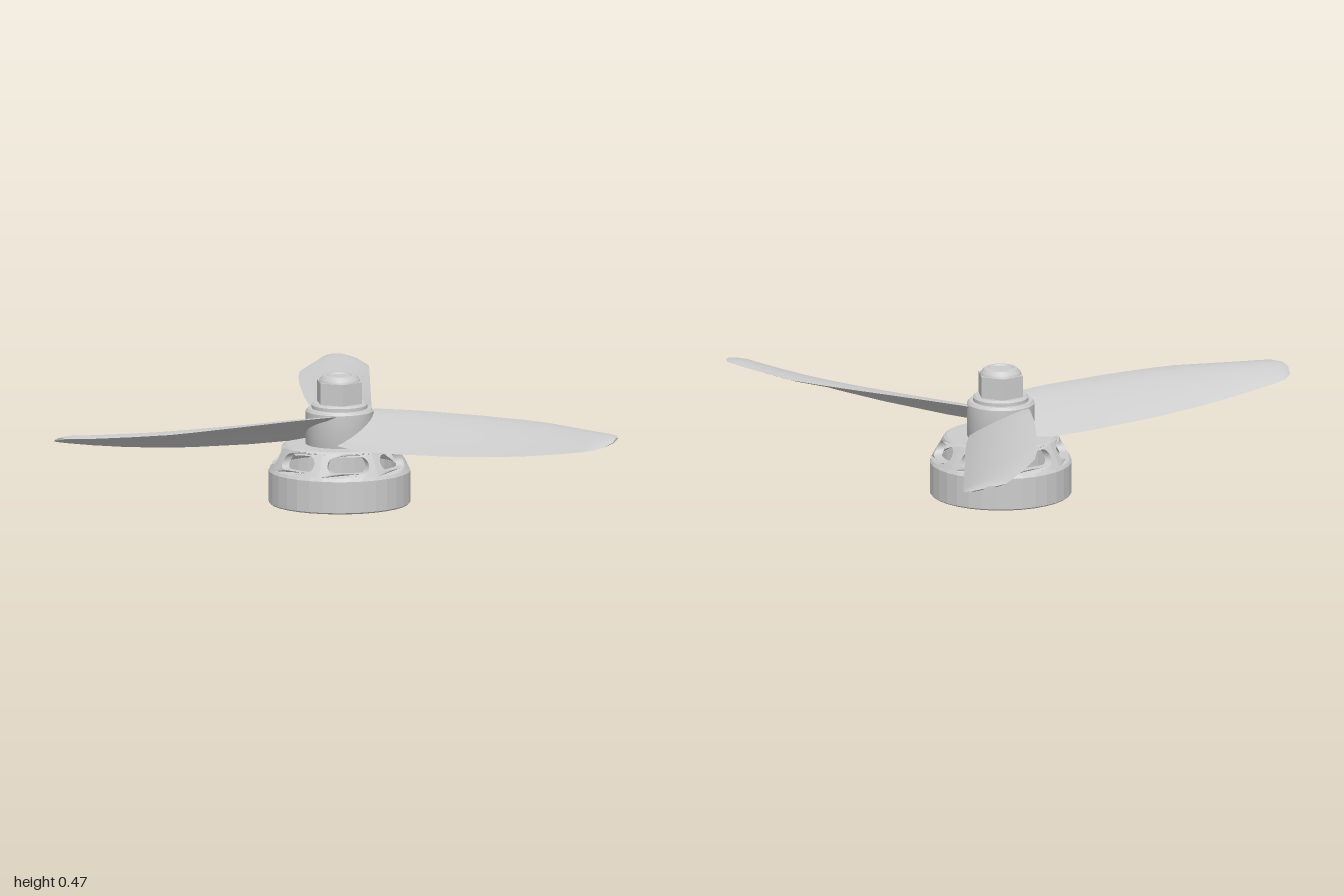
import * as THREE from 'three';
import { toCreasedNormals } from 'three/addons/utils/BufferGeometryUtils.js';

const grey = new THREE.MeshStandardMaterial({ color: 0xcccccc });
const V2 = (x, y) => new THREE.Vector2(x, y);

function add(parent, name, geometry, crease = 0.5) {
  const mesh = new THREE.Mesh(toCreasedNormals(geometry, crease), grey);
  mesh.name = name;
  parent.add(mesh);
  return mesh;
}

const lathe = (points, segments = 32) =>
  new THREE.LatheGeometry(points.map(([x, y]) => V2(x, y)), segments);

// One sector of the vented dome: a flat panel with a slot, bent onto a cone
function ventSector(count) {
  const R = 0.23, H = 0.08, T = 0.03, half = Math.PI / count * R, n = 8;
  const outline = [];
  for (let i = 0; i <= n; i++) outline.push(V2(-half + 2 * half * i / n, 0));
  for (let i = n; i >= 0; i--) outline.push(V2(-half + 2 * half * i / n, H));
  const shape = new THREE.Shape(outline);
  const slot = [], r = 0.028, straight = 0.05, cy = 0.042;
  for (const side of [1, -1]) {
    for (let i = 0; i <= 8; i++) {
      const a = -Math.PI / 2 + Math.PI * i / 8;
      slot.push(V2(side * (straight + r * Math.cos(a)), cy + side * r * Math.sin(a)));
    }
    for (let i = 1; i < 4; i++) slot.push(V2(side * straight * (1 - i / 2), cy + side * r));
  }
  shape.holes.push(new THREE.Path(slot));
  const geo = new THREE.ExtrudeGeometry(shape, { depth: T, bevelEnabled: false });
  const p = geo.attributes.position;
  for (let i = 0; i < p.count; i++) {
    const a = p.getX(i) / R, h = p.getY(i);
    const rad = 0.25 - 0.045 * h / H - (T - p.getZ(i));
    p.setXYZ(i, Math.sin(a) * rad, 0.13 + h, Math.cos(a) * rad);
  }
  return geo;
}

// Blade along -z, lofted through cambered, pitched sections
function bladeGeometry() {
  // distance from axis, raised edge x, raised edge y, low edge x, low edge y
  const stations = [
    [0.03, -0.085, 0.325, 0.115, 0.225],
    [0.12, -0.092, 0.332, 0.14, 0.216],
    [0.28, -0.087, 0.336, 0.163, 0.218],
    [0.53, -0.067, 0.337, 0.196, 0.230],
    [0.70, -0.045, 0.336, 0.219, 0.245],
    [0.80, -0.025, 0.335, 0.232, 0.256],
    [0.93, 0.030, 0.334, 0.249, 0.274],
    [1.04, 0.080, 0.334, 0.263, 0.292],
    [1.08, 0.098, 0.335, 0.266, 0.300],
    [1.115, 0.118, 0.335, 0.245, 0.310],
    [1.137, 0.155, 0.333, 0.205, 0.324],
  ];
  const steps = 8, loop = steps * 2, pos = [], index = [];
  for (const [r, x0, y0, x1, y1] of stations) {
    const w = x1 - x0;
    for (let j = 0; j < loop; j++) {
      const s = j <= steps ? j / steps : 2 - j / steps;
      const arch = 4 * s * (1 - s);
      const thick = (0.002 + 0.035 * w * Math.sqrt(arch)) * (j <= steps ? 1 : -1);
      pos.push(x0 + w * s, y0 + (y1 - y0) * s + 0.07 * w * arch + thick, -r);
    }
  }
  for (let i = 0; i < stations.length - 1; i++) {
    for (let j = 0; j < loop; j++) {
      const a = i * loop + j, b = i * loop + (j + 1) % loop;
      index.push(a, b, a + loop, b, b + loop, a + loop);
    }
  }
  // tip cap
  const last = (stations.length - 1) * loop;
  for (let j = 1; j < loop - 1; j++) index.push(last, last + j, last + j + 1);
  const geo = new THREE.BufferGeometry();
  geo.setAttribute('position', new THREE.Float32BufferAttribute(pos, 3));
  geo.setIndex(index);
  return geo;
}

export function createModel() {
  const model = new THREE.Group();
  model.name = 'propellerAndMotor';
  const axis = new THREE.Group();
  axis.name = 'rotor';
  axis.position.set(0.087, 0, 0.18);
  model.add(axis);

  // Motor bell: open ring with a small shoulder
  add(axis, 'bellRing', lathe([
    [0.218, 0.13], [0.218, 0], [0.25, 0], [0.255, 0.005],
    [0.255, 0.118], [0.247, 0.13], [0.218, 0.13],
  ]), 0.15);

  // Slotted dome
  const vents = 7, sector = ventSector(vents);
  const dome = new THREE.Group();
  dome.name = 'ventedDome';
  axis.add(dome);
  for (let i = 0; i < vents; i++) {
    add(dome, 'ventSector', sector).rotation.y = i * 2 * Math.PI / vents;
  }
  add(axis, 'domeTop', lathe([
    [0, 0.195], [0.182, 0.195], [0.207, 0.207], [0.195, 0.216], [0, 0.216],
  ]));

  // Propeller hub and blades
  add(axis, 'hub', lathe([
    [0, 0.21], [0.12, 0.21], [0.122, 0.215], [0.122, 0.335], [0.114, 0.345], [0, 0.345],
  ]));
  const blade = bladeGeometry();
  for (let i = 0; i < 3; i++) add(axis, 'blade', blade, 0.6).rotation.y = i * 2 * Math.PI / 3;

  // Washer, hex nut and rounded cap
  add(axis, 'washer', lathe([
    [0, 0.34], [0.1, 0.34], [0.1, 0.357], [0.092, 0.364], [0, 0.364],
  ]));
  const nut = add(axis, 'nut', new THREE.CylinderGeometry(0.086, 0.086, 0.08, 6));
  nut.position.y = 0.402;
  add(axis, 'nutCap', lathe([
    [0, 0.44], [0.075, 0.44], [0.072, 0.45], [0.06, 0.463], [0.046, 0.465],
    [0.042, 0.46], [0, 0.46],
  ], 24));
  return model;
}
